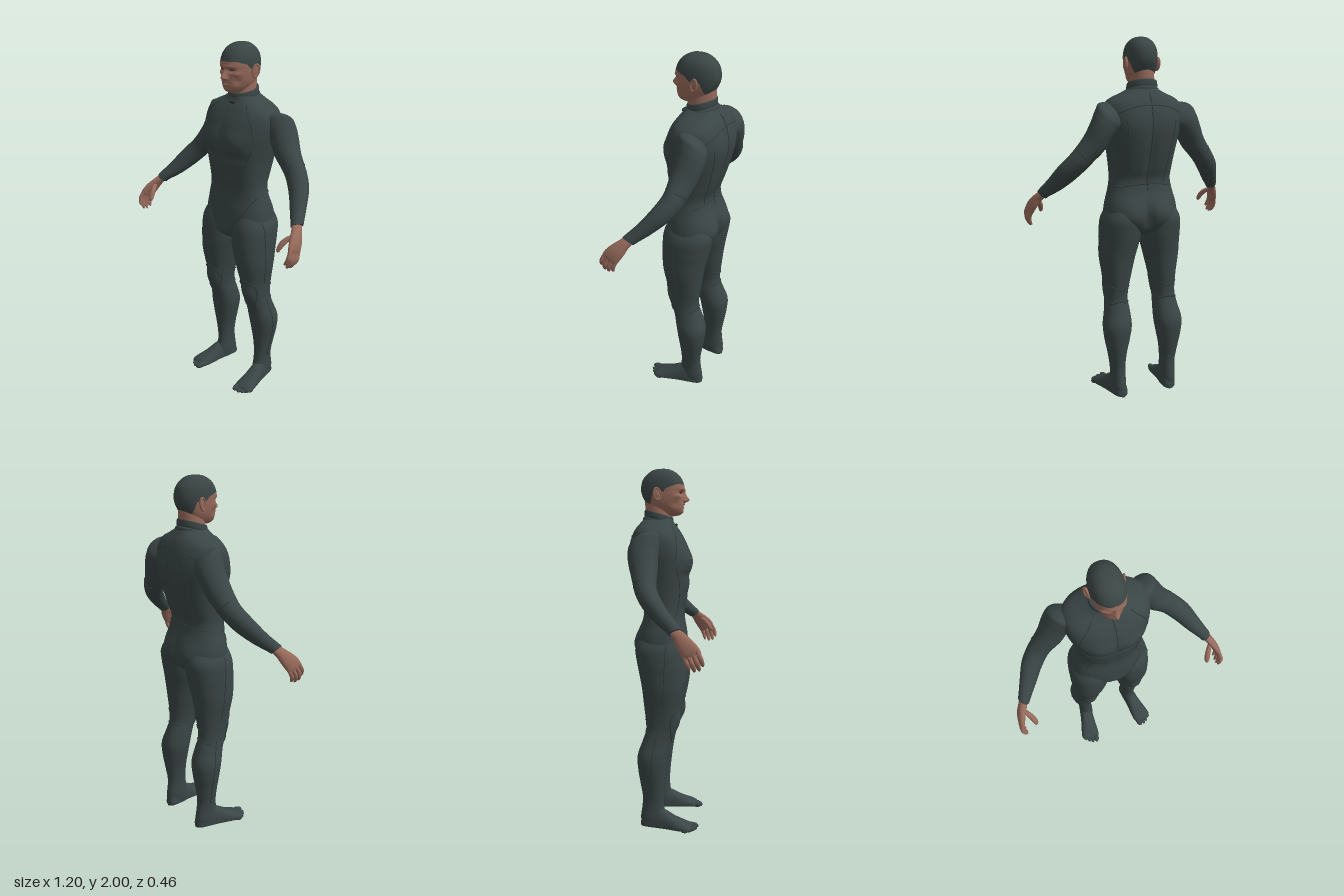
import * as THREE from 'three';
import { mergeGeometries } from 'three/addons/utils/BufferGeometryUtils.js';

const V = (x, y, z) => new THREE.Vector3(x, y, z);
const flat = (name, color) => Object.assign(new THREE.MeshStandardMaterial({ color }), { name });

// Smooth interpolation through rows of numbers
function sample(rows, t) {
  const f = t * (rows.length - 1), i = Math.min(Math.floor(f), rows.length - 2), s = f - i;
  const at = k => rows[Math.max(0, Math.min(rows.length - 1, k))];
  return rows[i].map((b, c) => {
    const a = at(i - 1)[c], d = at(i + 1)[c], e = at(i + 2)[c];
    return b + 0.5 * s * (d - a + s * (2 * a - 5 * b + 4 * d - e + s * (3 * (b - d) + e - a)));
  });
}

// Closed skin over rows [cx, cy, cz, half width, front depth, back depth], listed top to bottom
function loft(rows, { seg = 48, steps = 64, u = V(1, 0, 0), up = V(0, 1, 0), pow = 2.2, bumps = [] } = {}) {
  const v = u.clone().cross(up).normalize(), pos = [], idx = [], p = V(0, 0, 0);
  for (let i = 0; i <= steps; i++) {
    const [x, y, z, a, f, b] = sample(rows, i / steps);
    for (let j = 0; j < seg; j++) {
      const t = j / seg * Math.PI * 2, c = Math.cos(t), s = Math.sin(t);
      const e = n => Math.sign(n) * Math.abs(n) ** (2 / pow);
      p.set(x, y, z).addScaledVector(u, e(c) * Math.max(a, 0.001))
        .addScaledVector(v, e(s) * Math.max(s > 0 ? f : b, 0.001));
      pos.push(p.x, p.y, p.z);
      const k = i * seg + j, n = i * seg + (j + 1) % seg;
      if (i < steps) idx.push(k, n, k + seg, n, n + seg, k + seg);
    }
  }
  const last = steps * seg, top = pos.length / 3;
  pos.push(...rows[0].slice(0, 3), ...rows[rows.length - 1].slice(0, 3));
  for (let j = 0; j < seg; j++) {
    const n = (j + 1) % seg;
    idx.push(top, n, j, top + 1, last + j, last + n);
  }
  // Soft local swellings [centre, reach, shift], repeated on both sides when off centre
  for (let i = 0; i < pos.length; i += 3) {
    const q = pos.slice(i, i + 3);
    for (const [c, r, d] of bumps) for (const m of c[0] && rows[0][0] === 0 ? [1, -1] : [1]) {
      const w = Math.exp(-(((q[0] - m * c[0]) / r[0]) ** 2) - ((q[1] - c[1]) / r[1]) ** 2 - ((q[2] - c[2]) / r[2]) ** 2);
      pos[i] += m * d[0] * w; pos[i + 1] += d[1] * w; pos[i + 2] += d[2] * w;
    }
  }
  const g = new THREE.BufferGeometry();
  g.setAttribute('position', new THREE.Float32BufferAttribute(pos, 3));
  g.setIndex(idx);
  g.computeVertexNormals();
  return g;
}

function mirrored(geo) {
  const g = geo.clone().scale(-1, 1, 1), a = g.index.array;
  for (let i = 0; i < a.length; i += 3) [a[i], a[i + 1]] = [a[i + 1], a[i]];
  return g;
}

// Thin raised line laid on a surface: points are dropped onto it along a direction
function seam(geo, pts, dir, closed = false, r = 0.0028) {
  const mesh = new THREE.Mesh(geo, new THREE.MeshStandardMaterial({ side: THREE.DoubleSide }));
  const path = new THREE.CatmullRomCurve3(pts.map(p => V(...p)), closed), hits = [];
  for (let i = 0; i < 28 + !closed; i++) {
    const o = path.getPoint(i / 28).addScaledVector(dir, -1);
    const h = new THREE.Raycaster(o, dir).intersectObject(mesh)[0];
    if (h) hits.push(h.point);
  }
  return new THREE.TubeGeometry(new THREE.CatmullRomCurve3(hits, closed), 56, r, 6, closed);
}

export function createModel() {
  const root = new THREE.Group();
  const suit = flat('suit', 0x3a4545), trim = flat('seam', 0x313b3b), skin = flat('skin', 0x966a5b);
  const hair = flat('hair', 0x3a4544), eye = flat('eye', 0x3b2a26);
  const add = (name, geo, mat) => {
    const m = new THREE.Mesh(geo, mat);
    m.name = name;
    root.add(m);
  };
  const pair = (name, geo, mat) => { add(name + 'Left', geo, mat); add(name + 'Right', mirrored(geo), mat); };
  const front = V(0, 0, -1), back = V(0, 0, 1), side = V(-1, 0, 0);
  // Rows given as [y, x, half width, front z, back z]
  const body = rows => rows.map(([y, x, a, f, b]) => [x, y, (f + b) / 2, a, (f - b) / 2, (f - b) / 2]);

  // Torso
  const torso = loft(body([
    [1.735, 0, 0.07, 0, -0.15], [1.72, 0, 0.09, 0.005, -0.165], [1.70, 0, 0.13, 0.015, -0.18], [1.68, 0, 0.175, 0.03, -0.195],
    [1.65, 0, 0.212, 0.05, -0.21], [1.6, 0, 0.224, 0.076, -0.225], [1.53, 0, 0.218, 0.096, -0.233], [1.46, 0, 0.203, 0.1, -0.225],
    [1.38, 0, 0.188, 0.092, -0.205], [1.3, 0, 0.178, 0.08, -0.178], [1.24, 0, 0.175, 0.07, -0.155], [1.18, 0, 0.185, 0.07, -0.16],
    [1.1, 0, 0.205, 0.083, -0.185], [1.03, 0, 0.21, 0.087, -0.187], [0.97, 0, 0.185, 0.08, -0.165],
    [0.935, 0, 0.12, 0.05, -0.12], [0.915, 0, 0.03, 0, -0.06]]), {
    seg: 80, steps: 100, pow: 2.4, bumps: [
      [[0.085, 1.5, 0.09], [0.075, 0.06, 0.07], [0, 0, 0.016]], [[0, 1.49, 0.1], [0.014, 0.09, 0.06], [0, 0, -0.008]],
      [[0.09, 1.42, 0.1], [0.08, 0.022, 0.05], [0, 0, -0.008]], [[0, 1.3, 0.08], [0.012, 0.12, 0.05], [0, 0, -0.005]],
      [[0.05, 1.36, 0.1], [0.035, 0.03, 0.05], [0, 0, 0.005]], [[0.05, 1.28, 0.08], [0.035, 0.03, 0.05], [0, 0, 0.005]],
      [[0, 1.4, -0.2], [0.022, 0.22, 0.06], [0, 0, 0.014]], [[0.1, 1.55, -0.22], [0.07, 0.08, 0.06], [0, 0, -0.006]],
      [[0.095, 1.04, -0.17], [0.07, 0.07, 0.08], [0, 0, -0.022]], [[0, 1.02, -0.18], [0.016, 0.07, 0.08], [0, 0, 0.035]],
      [[0, 0.98, 0.08], [0.05, 0.05, 0.06], [0, 0, 0.012]]],
  });
  add('torso', torso, suit);
  add('frontZip', seam(torso, [[0, 1.7, 0], [0.004, 1.6, 0], [0, 1.5, 0]], front), trim);
  add('backZip', seam(torso, [[0, 1.7, 0], [0, 1.45, 0], [0, 1.18, 0]], back, false, 0.004), trim);
  add('waistSeam', seam(torso, [[-0.165, 1.2, 0], [-0.06, 1.215, 0], [0.06, 1.215, 0], [0.165, 1.2, 0]], back), trim);
  add('backYoke', seam(torso, [[-0.18, 1.6, 0], [-0.08, 1.635, 0], [0.08, 1.635, 0], [0.18, 1.6, 0]], back), trim);
  pair('chestSeam', seam(torso, [[0.1, 1.69, 0], [0.165, 1.6, 0], [0.185, 1.5, 0]], front), trim);
  pair('ribSeam', seam(torso, [[0.17, 1.46, 0], [0.135, 1.36, 0], [0.125, 1.26, 0], [0.15, 1.18, 0]], front), trim);
  pair('hipSeam', seam(torso, [[0.175, 1.19, 0], [0.12, 1.08, 0], [0.07, 1.0, 0], [0.03, 0.965, 0]], front), trim);
  pair('backSeam', seam(torso, [[0.14, 1.56, 0], [0.12, 1.4, 0], [0.1, 1.22, 0]], back), trim);

  // Stand-up collar, lower at the throat
  const ring = (y, r) => [0, y, -0.075, r, r, r - 0.003];
  add('collar', loft([ring(1.742, 0.066), ring(1.758, 0.074), ring(1.757, 0.082), ring(1.735, 0.085), ring(1.722, 0.084),
    ring(1.716, 0.091), ring(1.698, 0.094), ring(1.67, 0.1)], { up: V(0, 1, 0.27).normalize(), pow: 2 }), suit);
  add('collarTab', new THREE.BoxGeometry(0.04, 0.018, 0.008).rotateX(0.25).translate(0.012, 1.695, 0.022), trim);

  // Neck and head
  add('neck', loft(body([[1.86, 0, 0.058, -0.02, -0.15], [1.8, 0, 0.064, -0.005, -0.15], [1.75, 0, 0.067, -0.003, -0.148],
    [1.69, 0, 0.07, -0.005, -0.15]]), { steps: 16, pow: 2 }), skin);
  const head = loft([
    [2, 0.002, 0.002, 0.002], [1.994, 0.034, 0.04, 0.05], [1.972, 0.062, 0.08, 0.085], [1.94, 0.078, 0.105, 0.112],
    [1.9, 0.084, 0.118, 0.122], [1.865, 0.083, 0.113, 0.119], [1.83, 0.079, 0.113, 0.103], [1.8, 0.072, 0.113, 0.082],
    [1.775, 0.06, 0.11, 0.06], [1.755, 0.045, 0.098, 0.05], [1.745, 0.026, 0.07, 0.03], [1.743, 0.002, 0.003, 0.003],
  ].map(([y, a, f, b]) => [0, y, -0.05, a, f, b]), {
    seg: 120, steps: 110, pow: 2.25, bumps: [
      [[0, 1.834, 0.065], [0.013, 0.016, 0.04], [0, -0.003, 0.03]], [[0, 1.86, 0.065], [0.01, 0.02, 0.04], [0, 0, 0.013]],
      [[0.013, 1.826, 0.065], [0.007, 0.008, 0.03], [0.002, 0, 0.009]], [[0.032, 1.867, 0.055], [0.018, 0.01, 0.03], [0, 0, -0.012]],
      [[0.028, 1.886, 0.06], [0.026, 0.007, 0.03], [0, 0, 0.006]], [[0, 1.806, 0.065], [0.02, 0.005, 0.03], [0, 0, 0.005]],
      [[0, 1.793, 0.065], [0.018, 0.005, 0.03], [0, 0, 0.004]], [[0, 1.8, 0.065], [0.024, 0.0025, 0.03], [0, 0, -0.006]],
      [[0, 1.766, 0.06], [0.018, 0.012, 0.03], [0, 0, 0.005]], [[0.055, 1.848, 0.03], [0.02, 0.012, 0.03], [0.003, 0, 0.005]],
      [[0.055, 1.81, 0.02], [0.015, 0.018, 0.03], [-0.005, 0, -0.003]]],
  });
  // Split the head faces into skin, cropped hair and eyes
  const hairline = [[-0.3, 1.8], [-0.115, 1.806], [-0.095, 1.87], [-0.04, 1.872], [-0.02, 1.893], [0.04, 1.912], [0.2, 1.92]];
  const hairY = z => {
    const i = hairline.findIndex(h => z < h[0]), [a, b] = [hairline[i - 1], hairline[i]];
    return a[1] + (b[1] - a[1]) * (z - a[0]) / (b[0] - a[0]);
  };
  const bins = [[], [], []], P = head.attributes.position, I = head.index.array;
  for (let i = 0; i < I.length; i += 3) {
    const t = [I[i], I[i + 1], I[i + 2]];
    const [x, y, z] = ['getX', 'getY', 'getZ'].map(k => (P[k](t[0]) + P[k](t[1]) + P[k](t[2])) / 3);
    const inEye = z > 0 && ((Math.abs(x) - 0.032) / 0.014) ** 2 + ((y - 1.867) / 0.004) ** 2 < 1;
    bins[y > hairY(z) ? 1 : inEye ? 2 : 0].push(...t);
  }
  head.setIndex(bins.flat());
  let start = 0;
  bins.forEach((b, i) => { head.addGroup(start, b.length, i); start += b.length; });
  add('head', head, [skin, hair, eye]);
  const ear = mergeGeometries([
    new THREE.SphereGeometry(1, 20, 14).scale(0.008, 0.034, 0.021),
    new THREE.TorusGeometry(0.024, 0.0055, 8, 28).scale(0.82, 1.3, 1).rotateY(Math.PI / 2).translate(0.005, 0, 0)]);
  pair('ear', ear.rotateX(-0.2).rotateY(-0.3).translate(0.088, 1.858, -0.072), skin);

  // Arms
  const u = V(0.8, 0.6, 0), armUp = V(-0.56, 0.755, -0.34);
  const arm = loft([
    [0.14, 1.63, -0.11, 0.03, 0.04, 0.04], [0.19, 1.6, -0.115, 0.083, 0.08, 0.09], [0.222, 1.565, -0.12, 0.079, 0.085, 0.094],
    [0.255, 1.51, -0.12, 0.07, 0.077, 0.085], [0.29, 1.445, -0.11, 0.066, 0.07, 0.075], [0.335, 1.39, -0.1, 0.06, 0.06, 0.065],
    [0.374, 1.345, -0.088, 0.058, 0.055, 0.058], [0.426, 1.285, -0.05, 0.056, 0.052, 0.052], [0.475, 1.22, 0.01, 0.045, 0.043, 0.043],
    [0.515, 1.175, 0.062, 0.033, 0.037, 0.037], [0.527, 1.16, 0.078, 0.031, 0.035, 0.035]], { u, up: armUp, pow: 2 });
  pair('arm', arm, suit);
  pair('elbowSeam', seam(arm, [[0.31, 1.34, 0], [0.36, 1.375, 0], [0.39, 1.41, 0]], back), trim);

  // Hands: palm, four fingers and thumb
  const palm = loft([
    [0.517, 1.172, 0.065, 0.024, 0.029, 0.029], [0.54, 1.145, 0.095, 0.024, 0.032, 0.032], [0.562, 1.11, 0.125, 0.022, 0.043, 0.043],
    [0.576, 1.075, 0.15, 0.018, 0.048, 0.046], [0.58, 1.052, 0.162, 0.012, 0.042, 0.04]],
  { up: V(0, 0.9, -0.45).normalize(), seg: 32, steps: 24 });
  const digit = (pts, r, up) => loft(pts.map((p, i) => [...p, ...Array(3).fill(r * [1.05, 1, 1.08, 0.9, 0.6, 0.1][i])]),
    { up: up.normalize(), u: V(up.y, -up.x, 0).normalize(), seg: 14, steps: 24, pow: 2 });
  const fingers = [[0.036, 0.92, 0.0115], [0.012, 1.06, 0.012], [-0.012, 1, 0.0115], [-0.034, 0.8, 0.01]].map(([o, k, r]) =>
    digit([[0, 0.012, -0.008], [0.009, -0.02, 0.009], [0.011, -0.045, 0.02], [0.002, -0.07, 0.028], [-0.004, -0.081, 0.031], [-0.007, -0.086, 0.032]]
      .map(([x, y, z]) => [0.576 + x * k, 1.066 + o * 0.45 + y * k, 0.155 + o * 0.9 + z * k]), r, V(0.05, 0.9, -0.35)));
  const thumb = digit([[0.553, 1.125, 0.118], [0.53, 1.112, 0.145], [0.513, 1.088, 0.171], [0.505, 1.063, 0.189], [0.503, 1.052, 0.196],
    [0.503, 1.047, 0.199]], 0.014, V(0.45, 0.7, -0.75));
  pair('hand', mergeGeometries([palm, ...fingers, thumb]), skin);

  // Legs
  const leg = loft(body([
    [1.12, 0.1, 0.07, 0.05, -0.15], [1.03, 0.115, 0.108, 0.085, -0.19], [0.95, 0.12, 0.113, 0.093, -0.182], [0.88, 0.125, 0.108, 0.093, -0.168],
    [0.8, 0.135, 0.097, 0.085, -0.152], [0.7, 0.14, 0.078, 0.065, -0.14], [0.62, 0.145, 0.066, 0.05, -0.13], [0.56, 0.148, 0.063, 0.034, -0.13],
    [0.5, 0.15, 0.07, 0.012, -0.15], [0.42, 0.157, 0.08, -0.006, -0.176], [0.34, 0.16, 0.07, -0.018, -0.172], [0.26, 0.16, 0.053, -0.027, -0.16],
    [0.18, 0.157, 0.042, -0.032, -0.148], [0.12, 0.155, 0.04, -0.027, -0.152], [0.06, 0.155, 0.042, -0.015, -0.16],
    [0.012, 0.155, 0.036, -0.02, -0.152]]), {
    steps: 100, bumps: [[[0.147, 0.61, 0.05], [0.055, 0.05, 0.06], [0, 0, 0.012]], [[0.147, 0.69, 0.06], [0.05, 0.02, 0.05], [0, 0, -0.004]]],
  });
  pair('leg', leg, suit);
  pair('kneePadEdge', seam(leg, [[0.088, 0.64, 0], [0.11, 0.69, 0], [0.15, 0.7, 0], [0.195, 0.67, 0], [0.2, 0.6, 0], [0.18, 0.53, 0],
    [0.148, 0.505, 0], [0.108, 0.55, 0]], front, true, 0.004), trim);
  pair('kneeFoldTop', seam(leg, [[0.09, 0.64, 0], [0.145, 0.625, 0], [0.2, 0.645, 0]], back, false, 0.004), trim);
  pair('kneeFoldBottom', seam(leg, [[0.092, 0.55, 0], [0.148, 0.56, 0], [0.205, 0.545, 0]], back, false, 0.004), trim);
  pair('thighSeam', seam(leg, [[0, 1.05, -0.01], [0, 0.85, -0.02], [0, 0.68, -0.03]], side), trim);
  pair('calfSeam', seam(leg, [[0, 0.56, -0.06], [0, 0.4, -0.09], [0, 0.16, -0.09]], side), trim);

  // Feet with toes, turned slightly outward
  const foot = loft([
    [-0.06, 0.008, 0.03], [-0.053, 0.026, 0.06], [-0.03, 0.038, 0.09], [0.03, 0.042, 0.122], [0.08, 0.044, 0.108], [0.13, 0.05, 0.08],
    [0.18, 0.056, 0.058], [0.212, 0.056, 0.045], [0.235, 0.046, 0.032]].map(([z, a, h]) => [0, 0.02, z, a, h - 0.02, 0.016]),
  { up: V(0, 0, -1), steps: 40, pow: 2.3 });
  const toes = [[-0.036, 0.02, 0.252], [-0.009, 0.015, 0.255], [0.013, 0.014, 0.247], [0.033, 0.013, 0.233], [0.048, 0.012, 0.217]].map(([x, r, z]) =>
    new THREE.SphereGeometry(r, 16, 12).scale(0.88, 0.85, 1.7).translate(x, r * 0.85 + 0.005, z - r));
  toes.forEach(t => t.deleteAttribute('uv'));
  pair('foot', mergeGeometries([foot, ...toes]).rotateY(0.17).translate(0.155, 0, -0.1), suit);

  return root;
}
